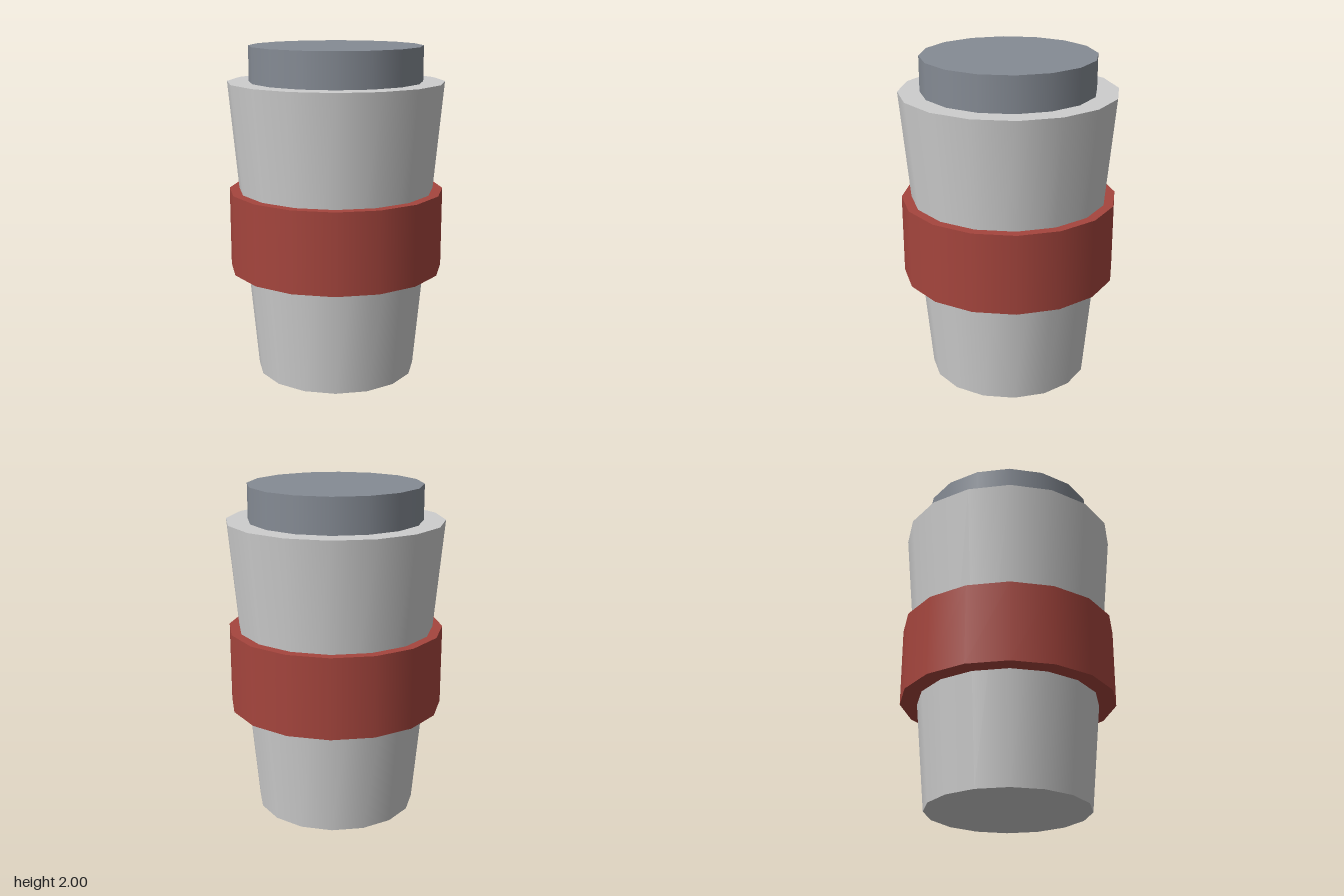
import * as THREE from 'three';

const SIDES = 16;

function material(name, color) {
  const m = new THREE.MeshStandardMaterial({ color });
  m.name = name;
  return m;
}

// Capped round section standing between two heights
function section(name, topRadius, bottomRadius, y0, y1, mat) {
  const geometry = new THREE.CylinderGeometry(topRadius, bottomRadius, y1 - y0, SIDES);
  geometry.translate(0, (y0 + y1) / 2, 0);
  const mesh = new THREE.Mesh(geometry, mat);
  mesh.name = name;
  return mesh;
}

export function createModel() {
  const cupGrey = material('cup grey', 0xcdcdcd);
  const sleeveRed = material('sleeve red', 0xa5453d);
  const lidGrey = material('lid slate grey', 0x858b94);

  const group = new THREE.Group();
  group.name = 'travelCup';
  group.add(
    // Tapered cup body
    section('cupBody', 0.65, 0.487, 0, 1.79, cupGrey),
    // Straight grip band around the middle
    section('gripSleeve', 0.65, 0.65, 0.655, 1.14, sleeveRed),
    // Lid on top
    section('lid', 0.52, 0.52, 1.79, 2, lidGrey)
  );
  return group;
}
